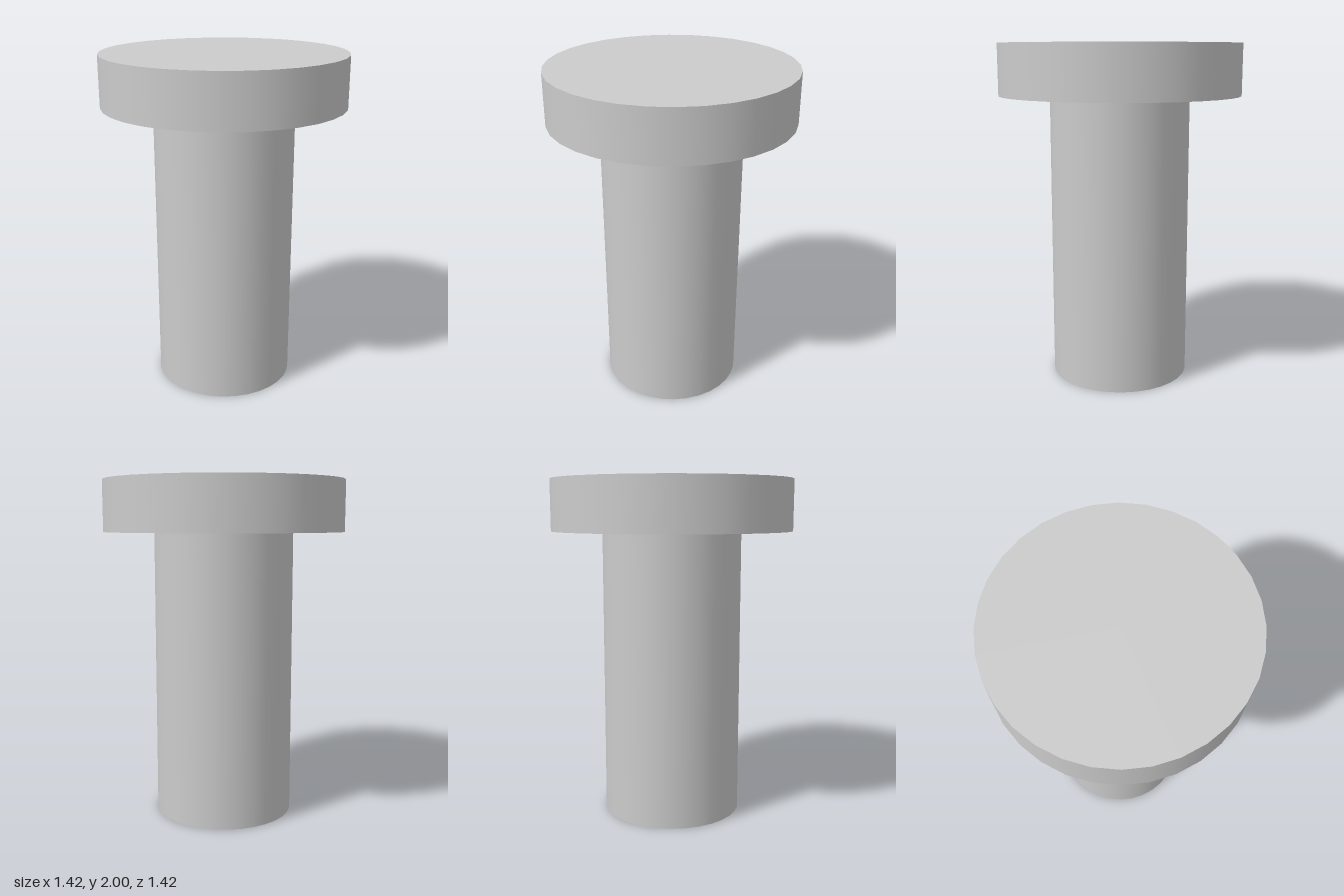
import * as THREE from 'three';

const SIDES = 32;

export function createModel() {
  const group = new THREE.Group();
  const material = new THREE.MeshStandardMaterial({ color: 0xcccccc });

  // Upright cylinder spanning bottom..top
  const addCylinder = (name, radius, bottom, top) => {
    const mesh = new THREE.Mesh(
      new THREE.CylinderGeometry(radius, radius, top - bottom, SIDES), material);
    mesh.name = name;
    mesh.position.y = (bottom + top) / 2;
    group.add(mesh);
  };

  addCylinder('shaft', 0.413, 0, 1.7); // long round pin
  addCylinder('head', 0.712, 1.7, 2); // wide flat cap

  return group;
}
